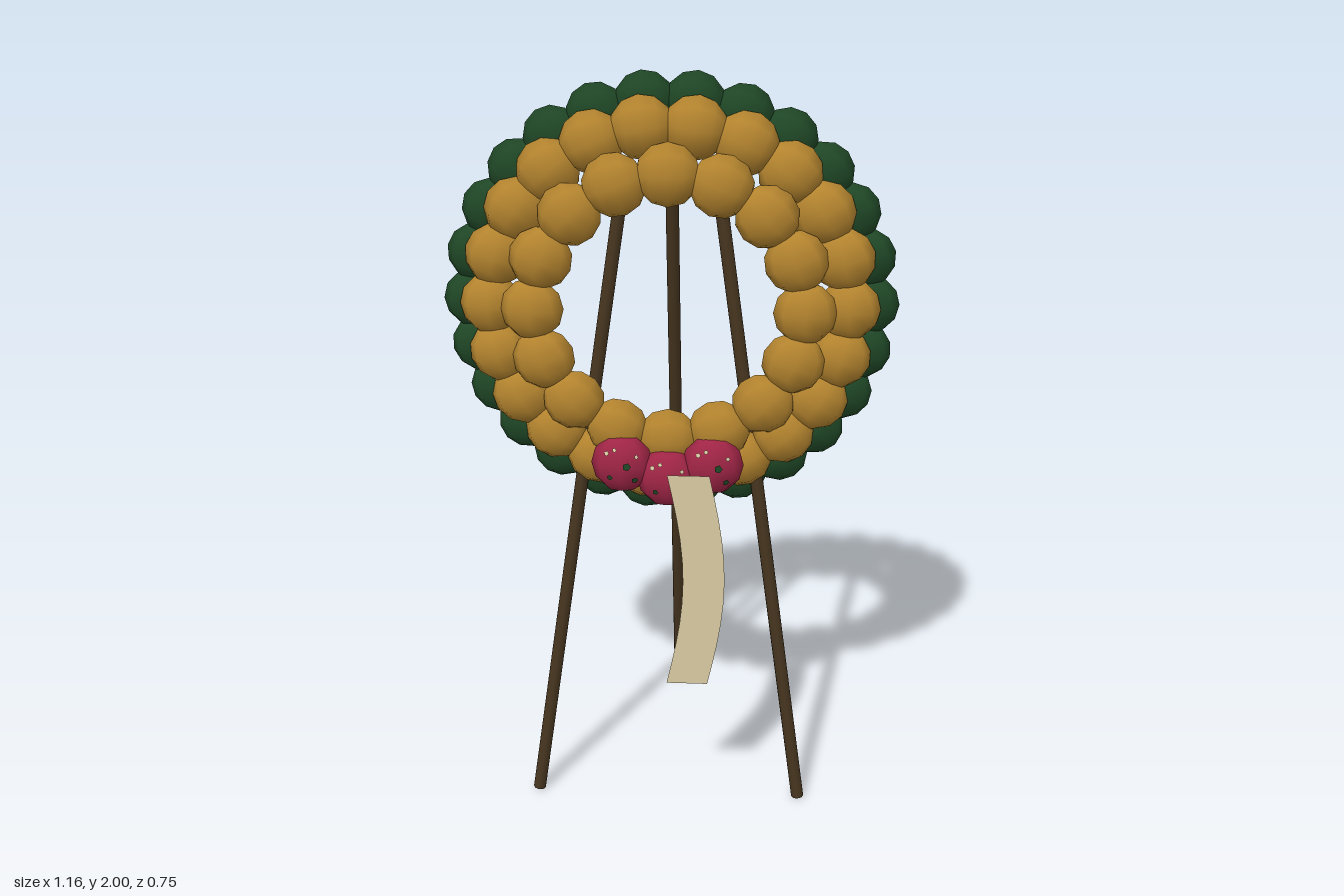
import * as THREE from 'three';

const mat = (name, color, side = THREE.FrontSide) => {
  const m = new THREE.MeshStandardMaterial({ color, side });
  m.name = name;
  return m;
};

export function createModel() {
  const leaf = mat('leaf green', 0x1f4726);
  const gold = mat('gold blossom', 0xb5852f);
  const red = mat('crimson', 0xa02546);
  const wood = mat('dark wood', 0x46351f);
  const silk = mat('cream ribbon', 0xd6c8a0, THREE.DoubleSide);

  const model = new THREE.Group();
  model.name = 'wreathOnStand';
  const bud = new THREE.SphereGeometry(1, 8, 6);

  function addBud(parent, name, material, x, y, z, r, depth, turn = 0) {
    const mesh = new THREE.Mesh(bud, material);
    mesh.name = name;
    mesh.position.set(x, y, z);
    mesh.scale.set(r, r, depth);
    mesh.rotation.z = turn;
    parent.add(mesh);
    return mesh;
  }

  // Three overlapping rings of flattened buds
  function addRing(name, material, count, radius, z, r, depth) {
    const ring = new THREE.Group();
    ring.name = name;
    ring.position.y = 1.42;
    for (let i = 0; i < count; i++) {
      const a = (i / count) * Math.PI * 2;
      addBud(ring, name + 'Bud', material, Math.cos(a) * radius, Math.sin(a) * radius, z, r, depth, a);
    }
    model.add(ring);
  }
  addRing('leafRing', leaf, 26, 0.507, 0.148, 0.075, 0.046);
  addRing('outerBlossomRing', gold, 22, 0.452, 0.193, 0.08, 0.055);
  addRing('innerBlossomRing', gold, 16, 0.342, 0.235, 0.08, 0.05);

  // Cluster of three red flowers, each with small green and cream flecks
  const cluster = new THREE.Group();
  cluster.name = 'redFlowers';
  const fleck = new THREE.CircleGeometry(1, 5);
  const flecks = [[0.2, 0.1, leaf, 0.011], [-0.45, 0.5, silk, 0.007], [0.45, -0.4, leaf, 0.009],
    [-0.2, 0.62, silk, 0.006], [0.5, 0.4, silk, 0.006], [-0.35, -0.3, leaf, 0.008]];
  for (const [x, y] of [[-0.117, 1.02], [0, 0.982], [0.117, 1.02]]) {
    addBud(cluster, 'redFlower', red, x, y, 0.268, 0.08, 0.05);
    for (const [u, v, material, size] of flecks) {
      const w = Math.sqrt(1 - u * u - v * v);
      const dot = new THREE.Mesh(fleck, material);
      dot.name = 'flowerFleck';
      dot.position.set(x + u * 0.08, y + v * 0.08, 0.269 + w * 0.05);
      dot.quaternion.setFromUnitVectors(new THREE.Vector3(0, 0, 1),
        new THREE.Vector3(u / 0.08, v / 0.08, w / 0.05).normalize());
      dot.scale.setScalar(size);
      cluster.add(dot);
    }
  }
  model.add(cluster);

  // Ribbon: a strip bowed sideways as it hangs
  const strip = new THREE.PlaneGeometry(0.108, 0.59, 1, 10);
  const p = strip.attributes.position;
  for (let i = 0; i < p.count; i++) {
    const t = 0.5 - p.getY(i) / 0.59;
    p.setXYZ(i, p.getX(i) + 0.058 + 0.042 * Math.sin(t * Math.PI), 1.02 - 0.59 * t, 0.345 + 0.03 * t);
  }
  strip.computeVertexNormals();
  const ribbon = new THREE.Mesh(strip, silk);
  ribbon.name = 'ribbon';
  model.add(ribbon);

  // Tripod legs
  function addLeg(name, foot, top) {
    const a = new THREE.Vector3(...foot), b = new THREE.Vector3(...top);
    const dir = b.clone().sub(a);
    const leg = new THREE.Mesh(new THREE.CylinderGeometry(0.017, 0.017, dir.length(), 8), wood);
    leg.name = name;
    leg.position.copy(a).add(b).multiplyScalar(0.5);
    leg.quaternion.setFromUnitVectors(new THREE.Vector3(0, 1, 0), dir.normalize());
    model.add(leg);
  }
  for (const s of [-1, 1]) {
    addLeg(s > 0 ? 'frontLegLeft' : 'frontLegRight', [s * 0.367, 0.004, 0.265], [s * 0.112, 1.77, 0.12]);
  }
  addLeg('rearLeg', [0, 0.004, -0.357], [0, 1.772, 0.08]);

  return model;
}
